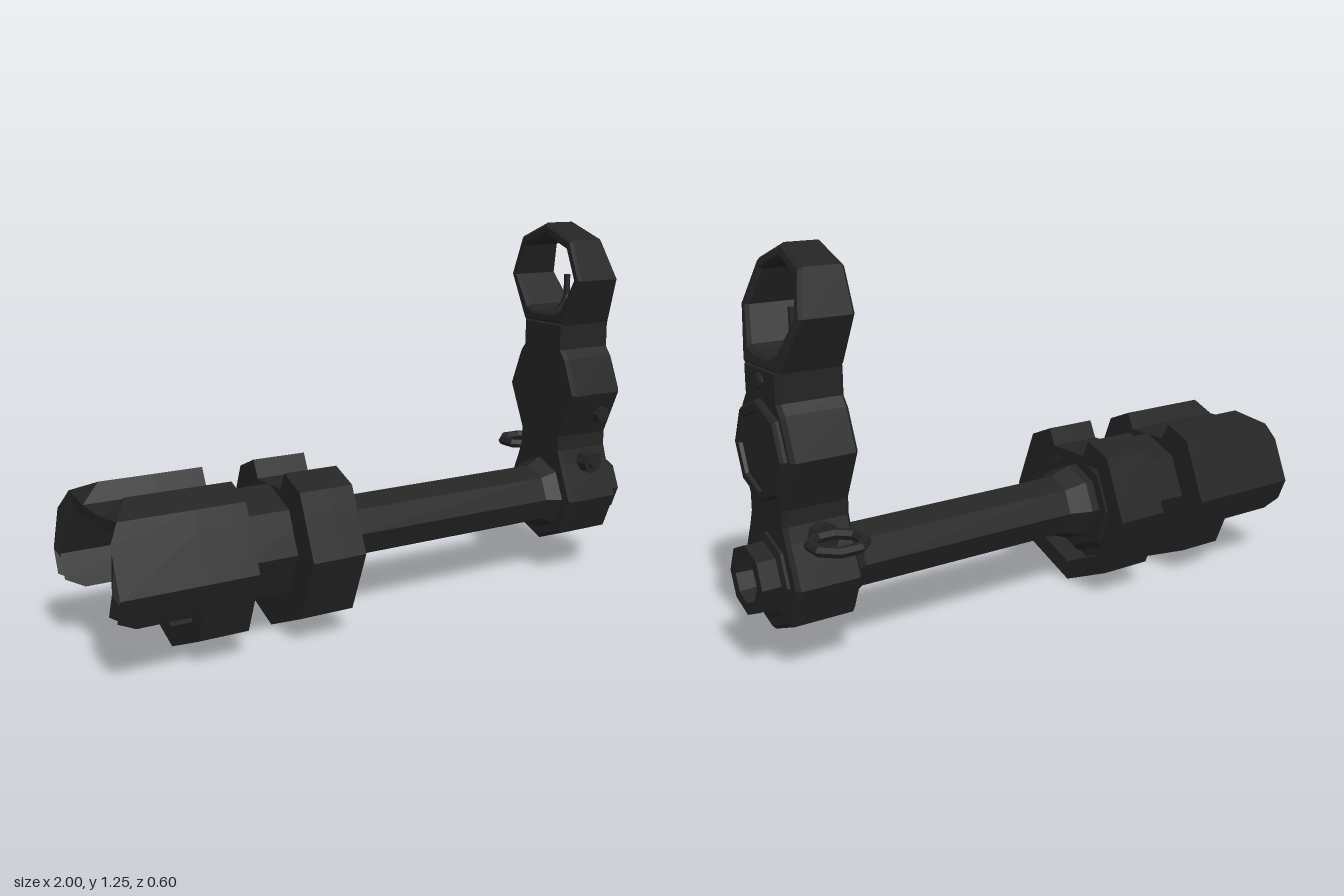
import * as THREE from 'three';

const AXIS = 0.285; // height of the barrel axis

export function createModel() {
  const model = new THREE.Group();
  model.position.z = 0.012;
  const steel = new THREE.MeshStandardMaterial({ color: 0x242424, flatShading: true });
  steel.name = 'black steel';

  const add = (name, geo, x = 0, y = 0, z = 0) => {
    const mesh = new THREE.Mesh(geo, steel);
    mesh.name = name;
    mesh.position.set(x, y, z);
    model.add(mesh);
    return mesh;
  };
  const vecs = (pts) => pts.map(([a, b]) => new THREE.Vector2(a, b));
  // Half outline, bottom to top, closed by its mirror image
  const mirror = (half) => [
    ...half,
    ...half.filter((p) => p[0] > 0).reverse().map(([u, v]) => [-u, v]),
  ];
  // Cross-section extruded along x
  const extrude = (outline, x0, x1, hole, bevel = 0) => {
    const shape = new THREE.Shape(vecs(outline));
    if (hole) shape.holes.push(new THREE.Path(vecs(hole)));
    return new THREE.ExtrudeGeometry(shape, {
      depth: x1 - x0 - 2 * bevel, bevelEnabled: bevel > 0, bevelThickness: bevel,
      bevelSize: bevel, bevelOffset: -bevel, bevelSegments: 1,
    }).rotateY(Math.PI / 2).translate(x0 + bevel, 0, 0);
  };
  // Eight-sided turned part along x, given as [radius, x]
  const turned = (pts) => new THREE.LatheGeometry(vecs(pts), 8).rotateZ(-Math.PI / 2);
  // Reshape vertices by a rule for x
  const reshape = (geo, rule) => {
    const p = geo.attributes.position;
    for (let i = 0; i < p.count; i++) p.setX(i, rule(p.getX(i), p.getY(i)));
    geo.computeVertexNormals();
    return geo;
  };

  // Handguard sections: an octagon with a channel along the top
  const upper = [[0.285, AXIS], [0.225, 0.43], [0.201, 0.487], [0.105, 0.527], [0.078, 0.47]];
  const full = mirror([[0, 0], [0.201, 0.084], ...upper]);
  const bore = mirror([[0, 0.065], [0.156, 0.13], [0.22, AXIS], [0.156, 0.44]]);
  add('handguardBulkhead', extrude(full, -0.62, -0.57));
  add('handguardHoop', extrude(full, -0.735, -0.62, bore));

  // Open-bottomed rear cover with a trimmed end
  const outer = [[0.241, 0.18], [0.254, 0.21], ...upper];
  const inner = [[0.177, 0.18], [0.189, 0.21], [0.22, AXIS], [0.156, 0.44]];
  const flip = (pts) => pts.map(([u, v]) => [-u, v]);
  const arch = [...outer, ...flip(outer).reverse(), ...flip(inner), ...[...inner].reverse()];
  add('handguardCover', reshape(extrude(arch, -1, -0.735), (x, y) => {
    if (x > -0.9) return x;
    if (y > 0.5) return -0.91;
    if (y > 0.435) return -0.97;
    return y < 0.2 ? -0.94 : -1;
  }));

  // Retaining ring with a recessed front face
  add('ringBack', extrude(full, -0.39, -0.29));
  add('ringFront', extrude(full, -0.29, -0.205, bore));

  // Receiver core, barrel and hollow muzzle
  add('barrelCore', turned([[0, -0.6], [0.187, -0.6], [0.187, -0.25], [0.165, -0.235], [0, -0.235]]), 0, AXIS);
  add('barrel', turned([
    [0.132, -0.25], [0.132, -0.205], [0.106, -0.13], [0.106, 0.66], [0.135, 0.715], [0.135, 0.9],
    [0.135, 0.935], [0.108, 0.94], [0.108, 1], [0.072, 1], [0.066, 0.93], [0, 0.93],
  ]), 0, AXIS);

  // Sight block: barrel collar, middle octagon and neck
  const body = mirror([
    [0, 0.11], [0.127, 0.16], [0.18, AXIS], [0.127, 0.414], [0.112, 0.46], [0.112, 0.51],
    [0.18, 0.665], [0.13, 0.79], [0.107, 0.82], [0.107, 0.915],
  ]);
  add('sightBlock', extrude(body, 0.71, 0.925, null, 0.012));
  add('frontPlate', turned([[0.155, 0.91], [0.155, 0.936], [0.146, 0.945], [0.122, 0.945], [0.118, 0.934], [0, 0.934]]), 0, 0.665);

  // Sight hood, thinner towards the top
  const hood = mirror([[0.107, 0.905], [0.187, 1.065], [0.133, 1.2], [0, 1.255]]);
  const opening = mirror([[0.05, 0.945], [0.085, 0.96], [0.147, 1.065], [0.104, 1.17], [0, 1.212]]);
  add('sightHood', reshape(extrude(hood, 0.71, 0.925, opening, 0.01),
    (x, y) => (x > 0.8 ? x - Math.max(0, y - 0.91) * 0.25 : x)));

  // Sight post on a flared foot
  const foot = [[0.055, 0.94], [0.032, 0.955], [0.02, 0.975], [0.011, 1.0], [0.011, 1.07], [0, 1.07]];
  add('sightPost', new THREE.LatheGeometry(vecs(foot), 8), 0.815);

  // Rivet, pins and sling loop
  add('neckRivet', turned([[0.027, 0.91], [0.027, 0.928], [0.015, 0.936], [0, 0.936]]), 0, 0.87);
  const pin = (name, r, x, y, z0, z1) => add(name,
    new THREE.CylinderGeometry(r * 0.8, r, z1 - z0, 8).rotateX(Math.PI / 2), x, y, (z0 + z1) / 2);
  pin('crossPin', 0.048, 0.815, 0.415, -0.15, 0.172);
  pin('crossPinHead', 0.024, 0.815, 0.415, 0.16, 0.182);
  pin('gasPin', 0.036, 0.86, 0.585, 0.1, 0.165);
  add('slingLoop', new THREE.TorusGeometry(0.08, 0.017, 6, 8)
    .rotateZ(Math.PI / 8).rotateX(Math.PI / 2), 0.815, 0.425, -0.222);

  const group = new THREE.Group();
  group.name = 'barrelAssembly';
  group.add(model);
  return group;
}
